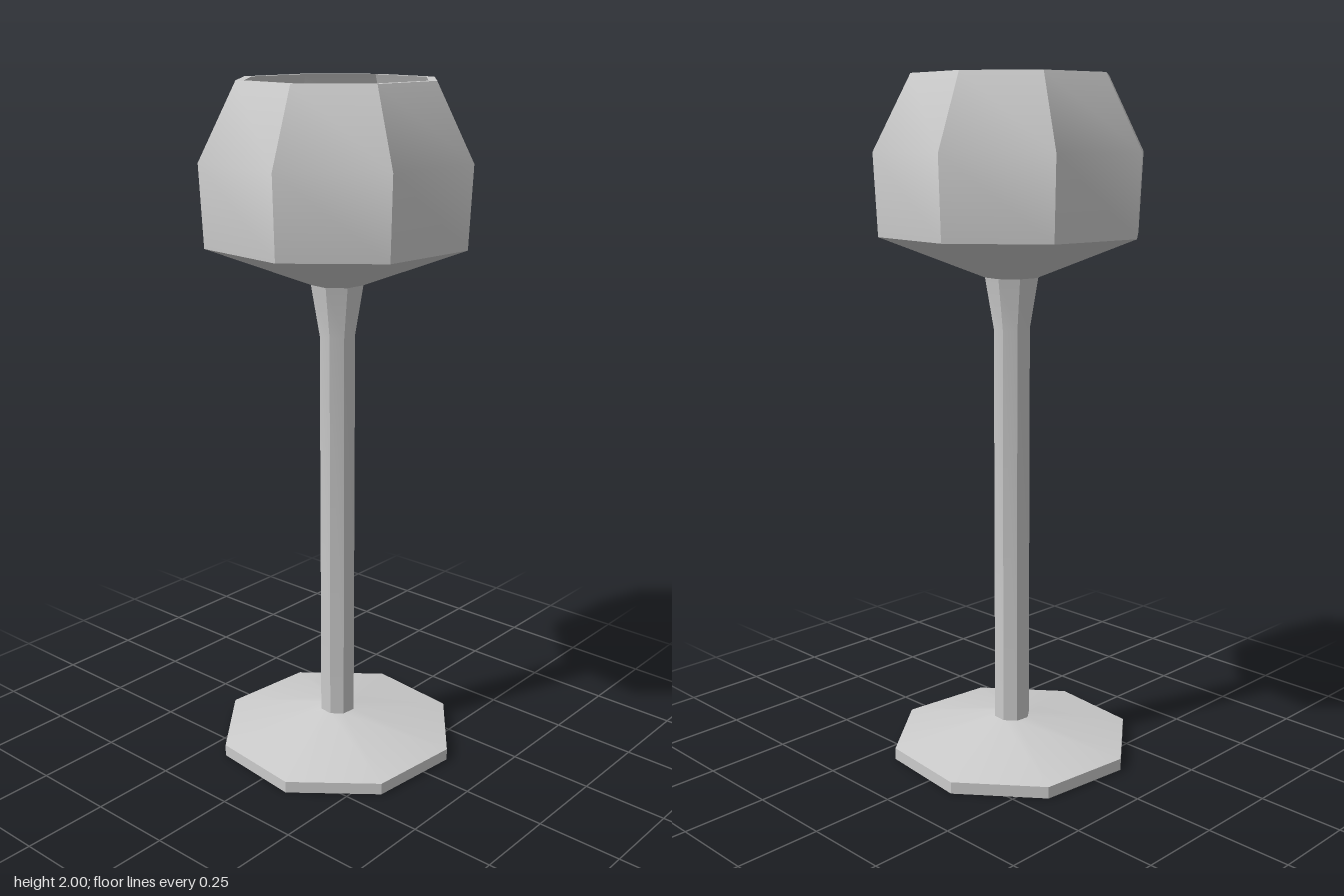
import * as THREE from 'three';
import { toCreasedNormals } from 'three/addons/utils/BufferGeometryUtils.js';

const SIDES = 8;
const TURN = THREE.MathUtils.degToRad(16.2); // the octagon is slightly turned
const CREASE = THREE.MathUtils.degToRad(33);

// Eight-sided turned part from [radius, height] pairs, listed bottom to top on the outside
function turned(name, profile, material) {
  const points = profile.map(([r, y]) => new THREE.Vector2(r, y));
  const lathe = new THREE.LatheGeometry(points, SIDES, TURN);
  const mesh = new THREE.Mesh(toCreasedNormals(lathe, CREASE), material);
  mesh.name = name;
  return mesh;
}

export function createModel() {
  const group = new THREE.Group();
  group.name = 'goblet';
  const material = new THREE.MeshStandardMaterial({ color: 0xcccccc });

  // Flat foot with a thin rim and a shallow cone
  group.add(turned('foot', [[0, 0], [0.365, 0], [0.365, 0.035], [0.054, 0.1]], material));

  // Slender stem, flaring under the bowl
  group.add(turned('stem', [[0.054, 0.1], [0.054, 1.29], [0.08, 1.44]], material));

  // Hollow bowl: outside, rim, then inner wall down to a flat floor
  group.add(turned('bowl', [
    [0.08, 1.44], [0.385, 1.56], [0.396, 1.79], [0.287, 2],
    [0.263, 2], [0.37, 1.79], [0.36, 1.58], [0, 1.58],
  ], material));

  return group;
}
